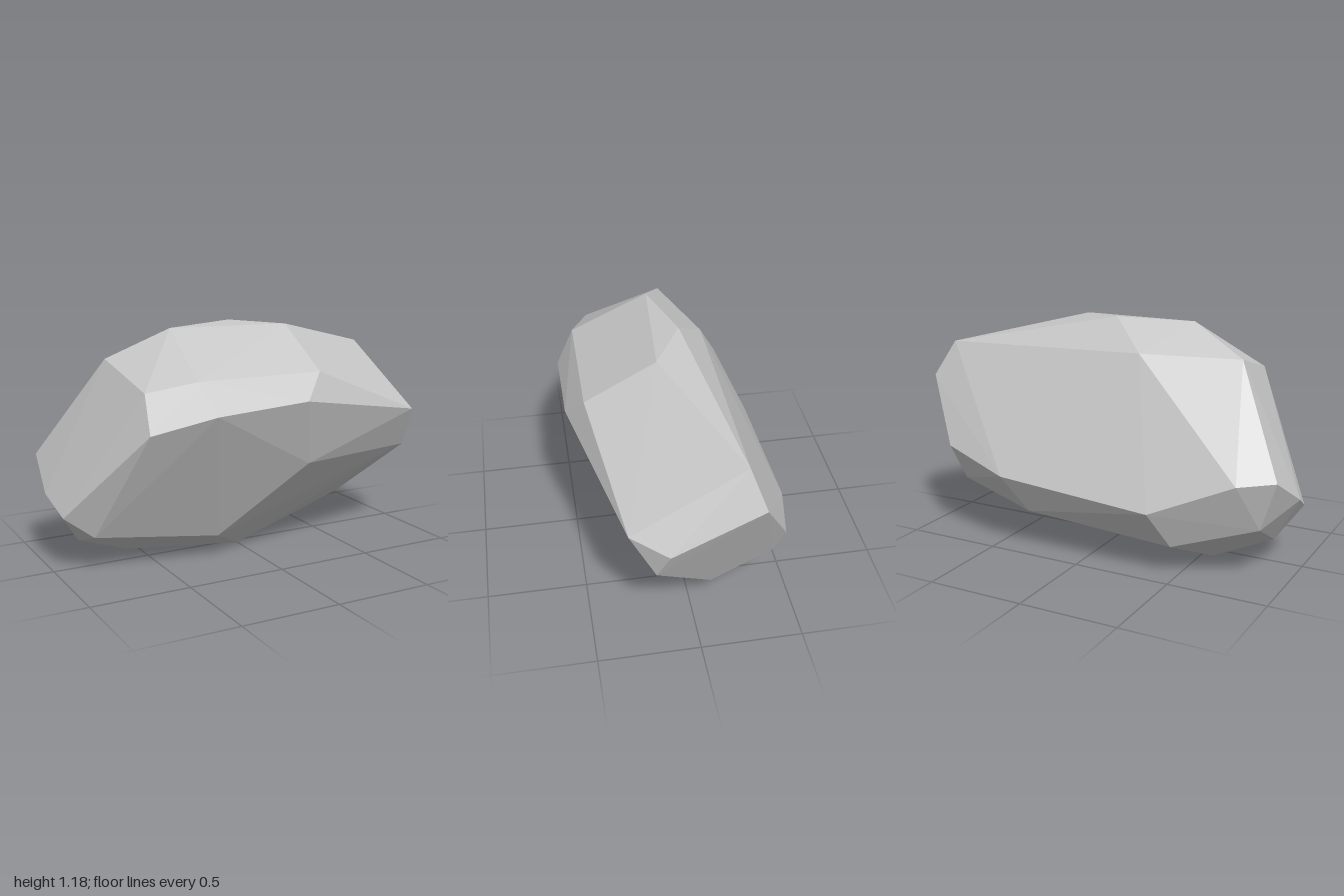
import * as THREE from 'three';
import { ConvexGeometry } from 'three/addons/geometries/ConvexGeometry.js';

// Corner points of the chiselled boulder, one short list per region
const crown = [
  [0.25, 1.158, 0.09], [-0.38, 1.165, 0.045], [0, 1.177, -0.06],
  [-0.68, 1.02, -0.065], [-0.2, 1.03, -0.21], [0.9, 1.0, -0.215],
];
const frontBrow = [
  [0.24, 0.96, 0.44], [-0.42, 0.96, 0.435], [-0.645, 0.91, 0.34],
  [0.125, 0.835, 0.527], [-0.36, 0.805, 0.525], [-0.655, 0.725, 0.42],
];
const leftEnd = [
  [0.91, 0.69, 0.325], [1.0, 0.62, 0.15], [0.99, 0.82, -0.283],
  [0.945, 0.47, 0.205], [0.79, 0.49, -0.44], [0.72, 0.315, -0.4],
];
const rightEnd = [
  [-0.97, 0.29, 0.085], [-1.0, 0.375, -0.085], [-0.965, 0.52, -0.33],
  [-0.88, 0.27, -0.3], [-0.86, 0.13, -0.03], [-0.83, 0.185, 0.13],
];
const foot = [
  [0.215, 0.49, 0.395], [-0.2, 0.12, 0.205], [0, 0, 0.04],
  [0.72, 0.155, -0.1], [-0.57, 0.013, -0.11],
];
const back = [
  [0.42, 0.4, -0.525], [-0.4, 0.34, -0.527], [-0.8, 0.505, -0.422],
  [0.31, 0.21, -0.44], [-0.476, 0.155, -0.42],
];

export function createModel() {
  const group = new THREE.Group();
  group.name = 'rock';

  const stone = new THREE.MeshStandardMaterial({ color: 0xc6c6c6 });
  stone.name = 'stone grey';
  stone.flatShading = true;

  // Flat facets stretched over all the corners
  const corners = [crown, frontBrow, leftEnd, rightEnd, foot, back]
    .flat()
    .map(([x, y, z]) => new THREE.Vector3(x, y, z));
  const boulder = new THREE.Mesh(new ConvexGeometry(corners), stone);
  boulder.name = 'boulder';
  group.add(boulder);

  return group;
}
